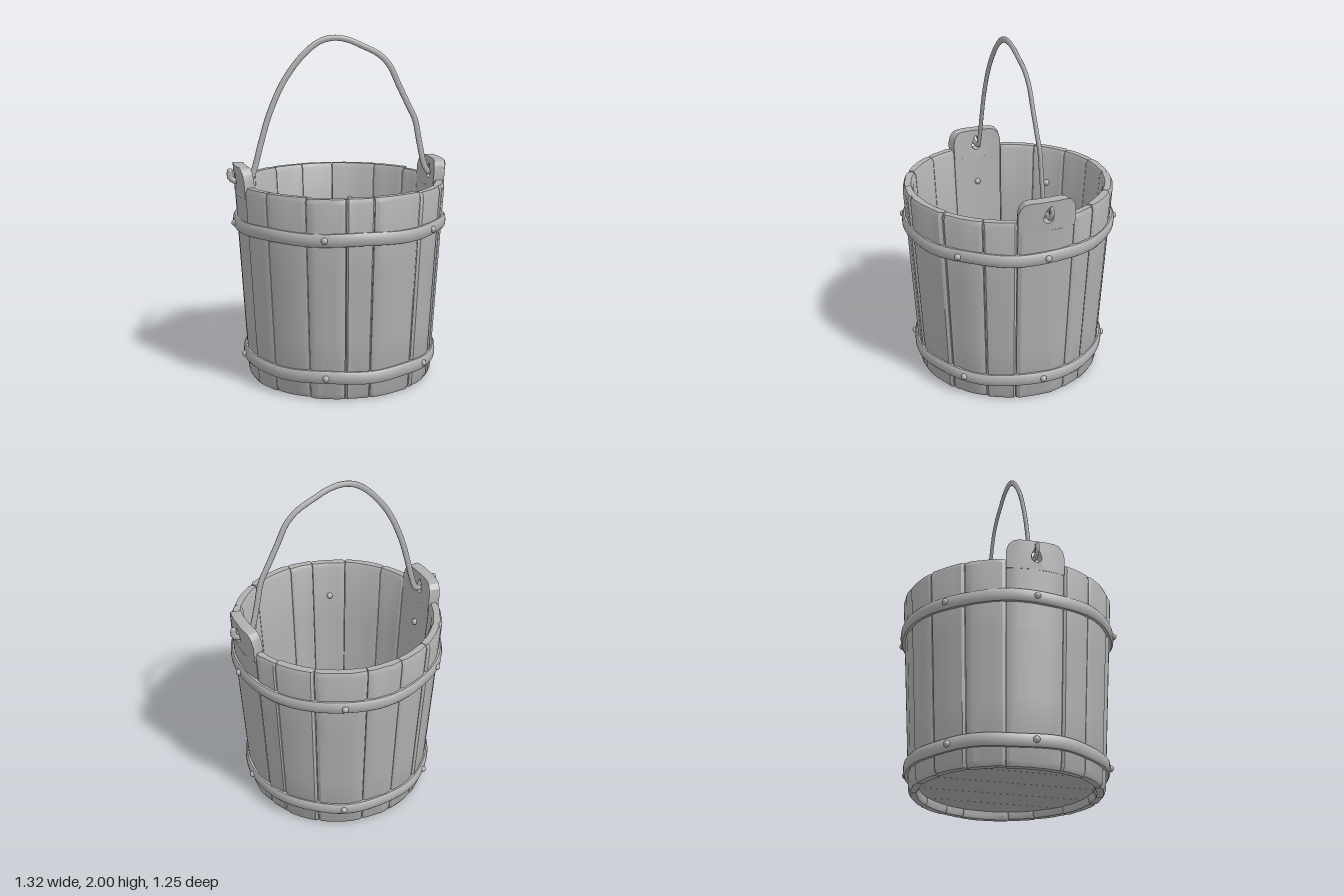
import * as THREE from 'three';
import { mergeGeometries, toCreasedNormals } from 'three/addons/utils/BufferGeometryUtils.js';

const DEG = Math.PI / 180;
const THICK = 0.062;
const wallRadius = (y) => 0.545 + 0.06 * y; // outside of the tapered wall

let seed = 7;
const rand = () => (seed = (seed * 16807) % 2147483647) / 2147483647;

// One curved plank lofted between two angles, with worn edges
function staveGeometry(a0, a1, y0, y1, bevelTop) {
  const cols = [0, 0.07, 0.3, 0.55, 0.8, 0.93, 1];
  const n = cols.length;
  const levels = [y0, y0 + 0.025, 0.35, 0.75, y1 - 0.025, y1];
  const bulge = cols.map((t) => (t === 0 || t === 1 ? -0.008 : (rand() - 0.5) * 0.007));
  const pos = [], idx = [];
  levels.forEach((y, j) => {
    const worn = j === 0 || (bevelTop && j === levels.length - 1) ? 0.012 : 0;
    for (let k = 0; k < 2 * n; k++) {
      const outer = k < n;
      const i = outer ? k : 2 * n - 1 - k;
      const a = a0 + 0.003 + (a1 - a0 - 0.006) * cols[i];
      const r = outer ? wallRadius(y) + bulge[i] - worn : wallRadius(y) - THICK - bulge[i] * 0.5 + worn;
      pos.push(r * Math.cos(a), y, r * Math.sin(a));
    }
  });
  const ring = 2 * n;
  for (let j = 0; j < levels.length - 1; j++) {
    for (let k = 0; k < ring; k++) {
      const p = j * ring + k, q = j * ring + ((k + 1) % ring);
      idx.push(p, p + ring, q, q, p + ring, q + ring);
    }
  }
  const top = (levels.length - 1) * ring;
  for (let i = 0; i < n - 1; i++) {
    const a = i, b = i + 1, c = ring - 1 - i, d = ring - 2 - i;
    idx.push(top + a, top + c, top + b, top + b, top + c, top + d);
    idx.push(a, b, c, b, d, c);
  }
  const g = new THREE.BufferGeometry();
  g.setAttribute('position', new THREE.Float32BufferAttribute(pos, 3));
  g.setIndex(idx);
  return toCreasedNormals(g, 0.5);
}

// Raised lug with a teardrop hole, cut in strips and bent round the wall
function earGeometry(centre) {
  const edge = [[-0.168, 1.2], [-0.155, 1.24], [-0.13, 1.265], [-0.1, 1.272], [-0.05, 1.272],
    [0.05, 1.272], [0.1, 1.272], [0.13, 1.265], [0.155, 1.24], [0.168, 1.2]];
  const parts = [];
  for (let i = 0; i < edge.length - 1; i++) {
    const [x0, h0] = edge[i], [x1, h1] = edge[i + 1];
    const s = new THREE.Shape();
    s.moveTo(x0, 1.1).lineTo(x1, 1.1).lineTo(x1, h1).lineTo(x0, h0).closePath();
    if (x0 === -0.05) {
      const hole = new THREE.Path();
      hole.absarc(0, 1.175, 0.03, 0.5, Math.PI - 0.5, true);
      hole.lineTo(-0.012, 1.225).lineTo(0, 1.236).lineTo(0.012, 1.225).closePath();
      s.holes.push(hole);
    }
    parts.push(new THREE.ExtrudeGeometry(s, { depth: 1, bevelEnabled: false, curveSegments: 14 }));
  }
  const g = mergeGeometries(parts);
  const p = g.attributes.position;
  for (let i = 0; i < p.count; i++) {
    const y = p.getY(i), a = centre - p.getX(i) / 0.605;
    const r = wallRadius(y) - THICK * (1 - p.getZ(i));
    p.setXYZ(i, r * Math.cos(a), y, r * Math.sin(a));
  }
  return toCreasedNormals(g, 0.5);
}

// Flat metal band with a slightly hammered outline
function hoopGeometry(y) {
  const r = wallRadius(y), h = 0.036;
  const profile = [[-0.02, -h], [0.012, -h], [0.021, -h * 0.65], [0.023, 0], [0.021, h * 0.65],
    [0.012, h], [-0.02, h], [-0.02, -h]].map(([dx, dy]) => new THREE.Vector2(r + dx, y + dy));
  const g = new THREE.LatheGeometry(profile, 72);
  const p = g.attributes.position;
  for (let i = 0; i < p.count; i++) {
    const a = Math.atan2(p.getZ(i), p.getX(i));
    const k = 1 + 0.003 * Math.sin(a * 9 + y * 5);
    p.setXYZ(i, p.getX(i) * k, p.getY(i) + 0.004 * Math.sin(a * 7 + y * 3), p.getZ(i) * k);
  }
  return toCreasedNormals(g, 0.7);
}

// Floor board clipped to the round bottom
function floorBoardGeometry(x0, x1) {
  const R = 0.495, n = 8, s = new THREE.Shape();
  const pts = [];
  for (const side of [-1, 1]) {
    for (let i = 0; i <= n; i++) {
      const t = side < 0 ? i / n : 1 - i / n;
      const x = Math.max(-R, Math.min(R, x0 + (x1 - x0) * t));
      pts.push(new THREE.Vector2(x, side * Math.sqrt(Math.max(0, R * R - x * x))));
    }
  }
  s.setFromPoints(pts);
  const g = new THREE.ExtrudeGeometry(s, { depth: 0.05, bevelEnabled: false });
  return g.rotateX(-Math.PI / 2).translate(0, 0.045, 0);
}

export function createModel() {
  const model = new THREE.Group();
  model.name = 'bucket';
  const grey = new THREE.MeshStandardMaterial({ color: 0xb0b0b0 });
  grey.name = 'plain grey';
  const add = (name, geometry, parent = model) => {
    const m = new THREE.Mesh(geometry, grey);
    m.name = name;
    parent.add(m);
    return m;
  };
  const group = (name) => {
    const g = new THREE.Group();
    g.name = name;
    model.add(g);
    return g;
  };

  // Wall planks of uneven width; the two side planks carry the lugs
  const staves = group('staves');
  const seams = [-16, 16, 34, 57, 86, 101, 122, 146, 164, 196, 218, 240, 260, 280, 308, 330, 344];
  for (let i = 0; i < seams.length - 1; i++) {
    const ear = seams[i] === -16 || seams[i] === 164;
    const base = ear ? 0 : rand() * 0.008;
    const top = ear ? 1.1 : 1.157 + rand() * 0.008;
    add(ear ? 'earStave' : 'stave', staveGeometry(seams[i] * DEG, seams[i + 1] * DEG, base, top, !ear), staves);
  }
  add('leftEar', earGeometry(0), staves);
  add('rightEar', earGeometry(Math.PI), staves);

  // Floor boards
  const floor = group('floor');
  const joints = [-0.495, -0.31, -0.1, 0.11, 0.305, 0.495];
  for (let i = 0; i < joints.length - 1; i++) {
    add('floorBoard', floorBoardGeometry(joints[i] + 0.001, joints[i + 1] - 0.001), floor);
  }

  // Hoops, with rivets showing on both faces of the wall
  const rivet = new THREE.SphereGeometry(0.019, 12, 8);
  for (const [name, y] of [['lowerHoop', 0.137], ['upperHoop', 0.935]]) {
    const hoop = group(name);
    add('band', hoopGeometry(y), hoop);
    for (const deg of [0, 47, 112, 180, 228, 292]) {
      for (const r of [wallRadius(y) + 0.022, wallRadius(y) - THICK - 0.004]) {
        add('rivet', rivet, hoop).position.set(r * Math.cos(deg * DEG), y, r * Math.sin(deg * DEG));
      }
    }
  }

  // Bent wire handle hooked through both lugs
  const path = [[-0.645, 1.235], [-0.645, 1.2], [-0.615, 1.178], [-0.56, 1.178], [-0.525, 1.19], [-0.5, 1.25],
    [-0.465, 1.38], [-0.41, 1.56], [-0.32, 1.75], [-0.2, 1.9], [-0.11, 1.965], [-0.03, 1.983], [0.05, 1.972],
    [0.14, 1.935], [0.24, 1.885], [0.305, 1.82], [0.36, 1.71], [0.42, 1.59], [0.465, 1.5], [0.495, 1.36],
    [0.53, 1.22], [0.56, 1.18], [0.615, 1.178], [0.643, 1.2], [0.643, 1.235]]
    .map(([x, y]) => new THREE.Vector3(x, y, 0));
  const handle = group('handle');
  add('wire', new THREE.TubeGeometry(new THREE.CatmullRomCurve3(path), 140, 0.0175, 10), handle);
  for (const end of [path[0], path[path.length - 1]]) {
    add('wireTip', new THREE.SphereGeometry(0.0175, 10, 8), handle).position.copy(end);
  }
  handle.scale.z = 0.65;
  handle.position.z = -0.005;
  return model;
}
